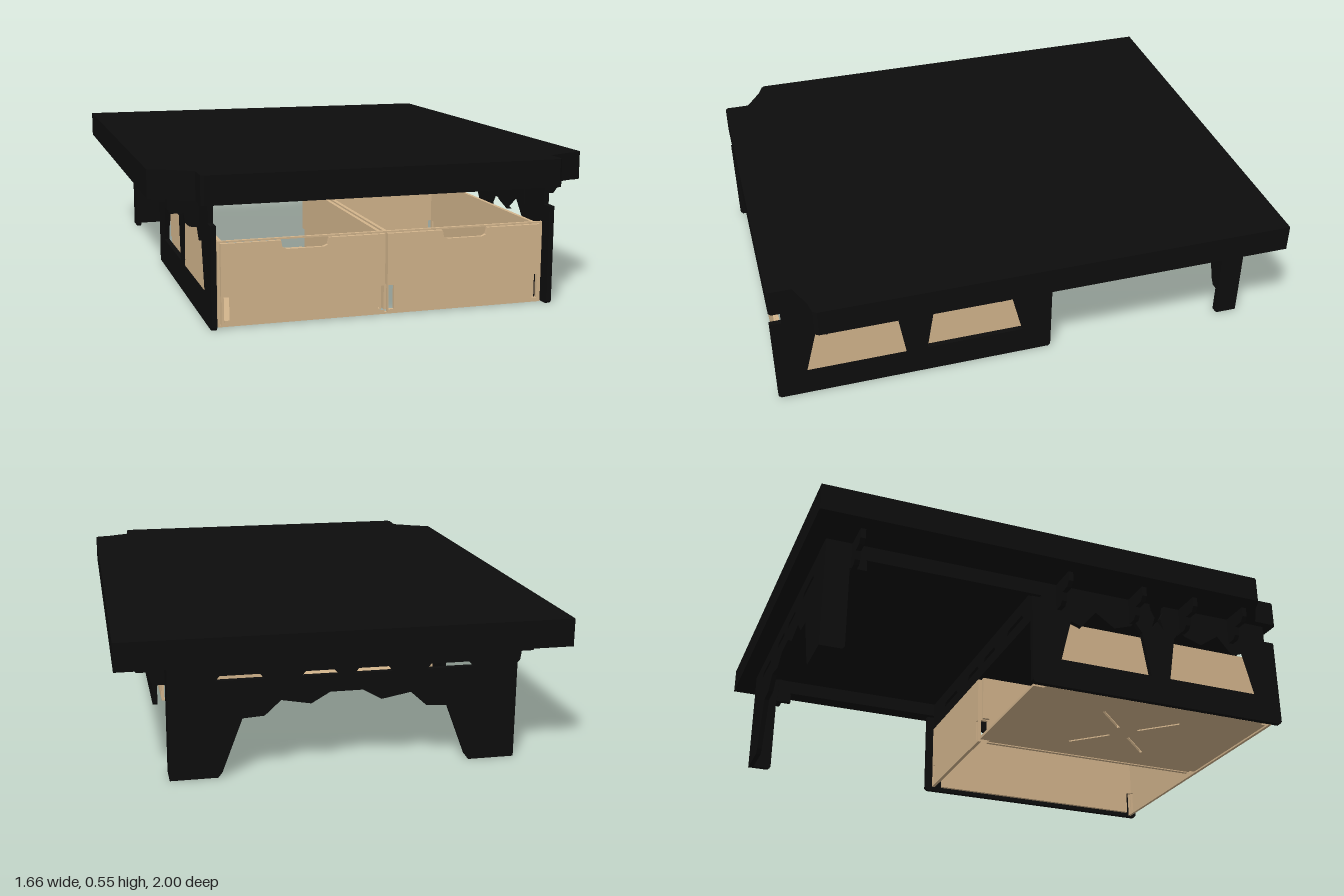
import * as THREE from 'three';

export function createModel() {
  const model = new THREE.Group();
  const black = new THREE.MeshStandardMaterial({ color: 0x0d0d0d });
  black.name = 'black';
  const plywood = new THREE.MeshStandardMaterial({ color: 0xd2b48c });
  plywood.name = 'plywood';

  const add = (name, geometry, material, parent = model) => {
    const mesh = new THREE.Mesh(geometry, material);
    mesh.name = name;
    parent.add(mesh);
    return mesh;
  };
  const path = (Type, pts) => new Type(pts.map(([x, y]) => new THREE.Vector2(x, y)));
  const rect = (x0, y0, x1, y1) => [[x0, y0], [x1, y0], [x1, y1], [x0, y1]];
  // Flat plate with holes in the xy plane, growing along +z
  const plate = (pts, depth, holes = []) => {
    const shape = path(THREE.Shape, pts);
    shape.holes = holes.map((h) => path(THREE.Path, h));
    return new THREE.ExtrudeGeometry(shape, { depth, bevelEnabled: false });
  };
  // Plate standing lengthwise: points are [z, y], growing along +x from x0
  const sidePlate = (pts, x0, depth, holes = []) => {
    const flip = (list) => list.map(([z, y]) => [-z, y]);
    return plate(flip(pts), depth, holes.map(flip)).rotateY(Math.PI / 2).translate(x0, 0, 0);
  };
  // Box given by its corner ranges
  const box = (x0, x1, y0, y1, z0, z1) => new THREE.BoxGeometry(x1 - x0, y1 - y0, z1 - z0)
    .translate((x0 + x1) / 2, (y0 + y1) / 2, (z0 + z1) / 2);
  const mirrored = (half) => [...half, ...half.map(([x, y]) => [-x, y]).reverse()];

  // Mattress slab with notched front corners
  const outline = [[-0.83, -1], [0.83, -1], [0.83, 0.84], [0.82, 0.855], [0.77, 0.865], [0.675, 0.905],
    [0.675, 0.99], [0.665, 1], [-0.665, 1], [-0.675, 0.99], [-0.675, 0.9], [-0.77, 0.84], [-0.82, 0.82], [-0.83, 0.81]];
  add('mattress', plate(outline.map(([x, z]) => [x, -z]), 0.105).rotateX(-Math.PI / 2).translate(0, 0.45, 0), black);

  // Side panels with zigzag topped windows and a waisted joint gap
  const panel = [[0.99, 0.01], [1, 0.02], [1, 0.38], [0.955, 0.38], [0.955, 0.45], [0.48, 0.45], [0.475, 0.42],
    [0.46, 0.39], [0.475, 0.34], [0.448, 0.375], [0.42, 0.34], [0.436, 0.39], [0.42, 0.42], [0.415, 0.45],
    [-0.065, 0.45], [-0.065, 0.38], [-0.105, 0.38], [-0.105, 0.02], [-0.095, 0.01]];
  const frontWindow = [[0.88, 0.125], [0.835, 0.3], [0.79, 0.285], [0.725, 0.36], [0.645, 0.305],
    [0.57, 0.33], [0.55, 0.35], [0.52, 0.31], [0.49, 0.125]];
  const rearWindow = frontWindow.map(([z, y]) => [0.895 - z, y]);
  for (const s of [-1, 1]) {
    const name = s > 0 ? 'left' : 'right';
    const x = s > 0 ? 0.625 : -0.645;
    add(name + 'SidePanel', sidePlate(panel, x, 0.02, [frontWindow, rearWindow]), black);
    add(name + 'Rail', box(x, x + 0.02, 0.39, 0.45, -0.9, -0.065), black);
    // Rear leg flange with a small bracket at its top
    add(name + 'LegFlange', sidePlate([[-0.835, 0.02], [-0.845, 0.01], [-0.93, 0.01], [-0.93, 0.45],
      [-0.79, 0.45], [-0.77, 0.38], [-0.77, 0.345], [-0.835, 0.345]], x, 0.02), black);
    // Wing brackets under the overhang
    const wing = [[0.62, 0.34], [0.68, 0.34], [0.695, 0.355], [0.7, 0.39], [0.745, 0.39], [0.76, 0.41],
      [0.76, 0.45], [0.62, 0.45]];
    for (const z of [0.78, 0.55, 0.32, 0.0, -0.83]) {
      add(name + 'WingBracket', plate(wing.map(([wx, y]) => [wx * s, y]), 0.02).translate(0, 0, z), black);
    }
  }

  // Cross panels with four long slots
  const slots = [[-0.475, -0.3], [-0.17, -0.03], [0.03, 0.165], [0.3, 0.475]].map(([a, b]) =>
    [[a, 0.375], [b, 0.375], [b - 0.015, 0.393], [a + 0.015, 0.393]]);
  add('middleCrossPanel', plate(rect(-0.63, 0.325, 0.63, 0.45), 0.02, slots).translate(0, 0, -0.07), black);
  const rear = mirrored([[0.64, 0.45], [0.64, 0.01], [0.47, 0.01], [0.455, 0.03], [0.38, 0.23], [0.3, 0.235],
    [0.24, 0.29], [0.13, 0.27], [0.06, 0.31]]);
  add('rearLegPanel', plate(rear, 0.02, slots).translate(0, 0, -0.93), black);

  // Drawers, open on top; the right one has a floor, the left one a back
  const front = 0.975, back = -0.08, t = 0.014;
  for (const s of [-1, 1]) {
    const drawer = new THREE.Group();
    drawer.name = s > 0 ? 'leftDrawer' : 'rightDrawer';
    model.add(drawer);
    const inner = 0.005, outer = 0.605;
    const wall = [[inner, 0.02], [outer, 0.02], [outer, 0.31], [0.39, 0.31], [0.385, 0.285], [0.37, 0.278],
      [0.235, 0.278], [0.22, 0.285], [0.215, 0.31], [inner, 0.31]];
    const plainWall = rect(inner, 0.02, outer, 0.31);
    const cornerHoles = [rect(0.009, 0.03, 0.03, 0.12), rect(0.577, 0.03, 0.596, 0.12)];
    const side = (pts) => pts.map(([x, y]) => [x * s, y]);
    add('drawerFront', plate(side(wall), t, cornerHoles.map(side)).translate(0, 0, front - t), plywood, drawer);
    if (s > 0) add('drawerBack', plate(side(plainWall), t, cornerHoles.map(side)).translate(0, 0, back), plywood, drawer);
    for (const x of [inner, outer - t]) {
      const x0 = s > 0 ? x : -x - t;
      // Side walls stop short of the corner holes in the end walls
      add('drawerSide', sidePlate([[back + t, 0.12], [back + t + 0.03, 0.12], [back + t + 0.03, 0.02], [front - 0.04, 0.02],
        [front - 0.04, 0.12], [front - t, 0.12], [front - t, 0.31], [back + t, 0.31]], x0, t), plywood, drawer);
    }
    if (s < 0) {
      // Floor with slots fanning out from its centre
      const cx = -0.305, cz = 0.45;
      const grooves = [];
      for (const a of [0.8, 2.34, 3.94, 5.48]) {
        const p = (r, w) => [cx + Math.cos(a) * r - Math.sin(a) * w, -cz + Math.sin(a) * r + Math.cos(a) * w];
        grooves.push([p(0.06, -0.006), p(0.24, -0.006), p(0.24, 0.006), p(0.06, 0.006)]);
      }
      add('drawerFloor', plate(rect(-outer + t, -front + t, -inner - t, -back), 0.012, grooves)
        .rotateX(-Math.PI / 2).translate(0, 0.02, 0), plywood, drawer);
    }
  }

  // Thin frame around the drawer fronts
  add('drawerFrame', plate(rect(-0.615, 0.012, 0.615, 0.318), 0.012, [rect(-0.607, 0.019, 0.607, 0.312)])
    .translate(0, 0, 0.955), plywood);
  return model;
}
